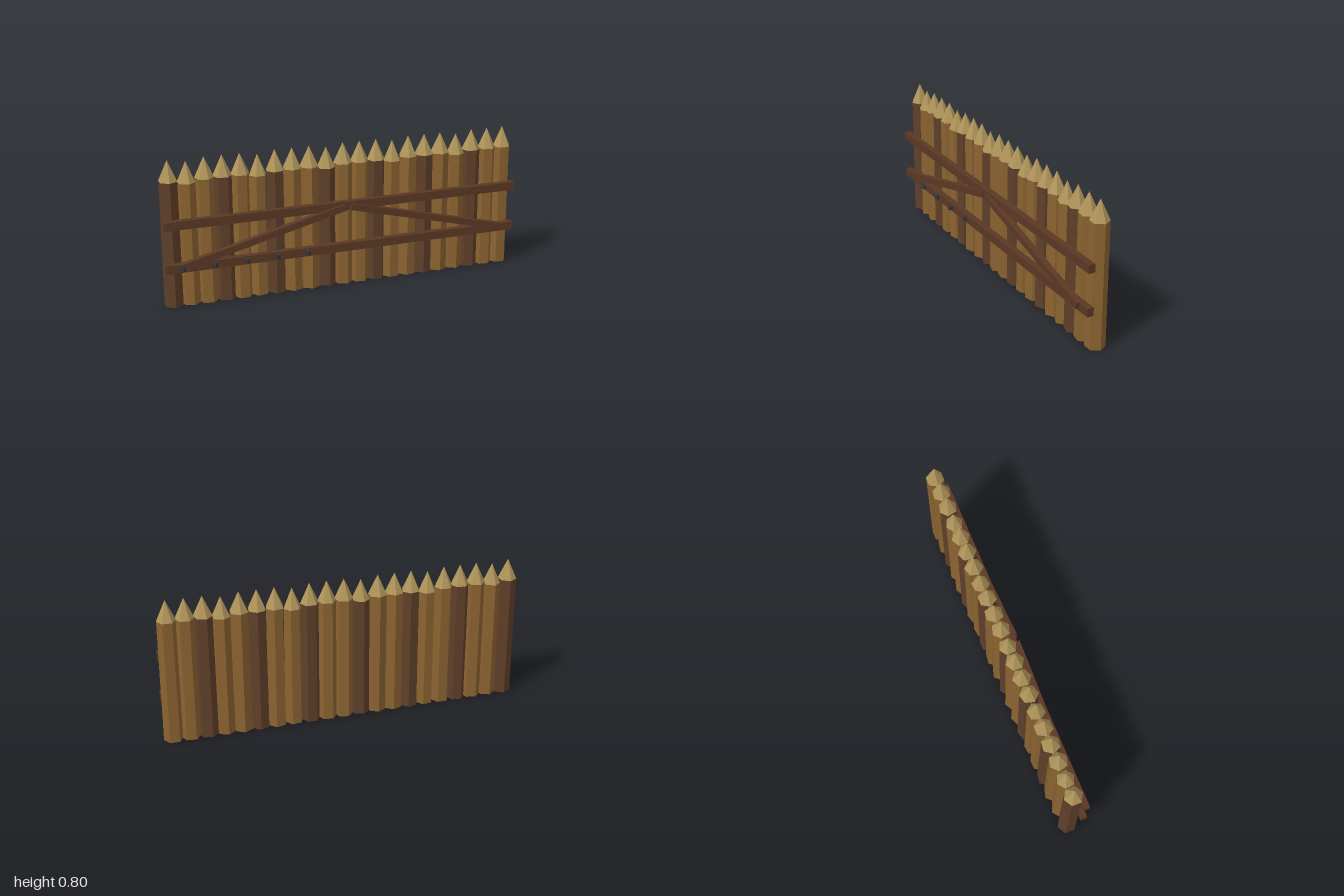
import * as THREE from 'three';

const paint = (color) => new THREE.MeshStandardMaterial({ color, flatShading: true });

export function createModel() {
  const model = new THREE.Group();
  model.name = 'palisadeWall';

  const lightWood = paint(0x8b6331);
  const darkWood = paint(0x5f3f29);
  const cutWood = paint(0xb0955a);
  const railWood = paint(0x5a3824);
  const iron = paint(0x30373c);

  const add = (name, geometry, material, x, y, z, parent = model) => {
    const mesh = new THREE.Mesh(geometry, material);
    mesh.name = name;
    mesh.position.set(x, y, z);
    parent.add(mesh);
    return mesh;
  };

  // Row of sharpened hexagonal stakes, each turned a little further
  const count = 21;
  const tipHeight = 0.113;
  for (let i = 0; i < count; i++) {
    const short = i % 4 === 1;
    const height = short ? 0.672 : 0.687;
    const r = short ? 0.049 : 0.0515;
    const stake = new THREE.Group();
    stake.name = 'stake';
    stake.position.set(-0.952 + i * 0.0952, 0, -0.0265);
    stake.rotation.y = i * 0.13;
    model.add(stake);
    add('stakeBody', new THREE.CylinderGeometry(r - 0.001, r + 0.0015, height, 6),
      i % 3 === 0 ? darkWood : lightWood, 0, height / 2, 0, stake);
    add('stakeTip', new THREE.ConeGeometry(r, tipHeight, 6),
      cutWood, 0, height + tipHeight / 2, 0, stake);
  }

  // Horizontal rails across the front
  const railGeometry = new THREE.BoxGeometry(2, 0.046, 0.036);
  add('upperRail', railGeometry, railWood, 0, 0.467, 0.04);
  add('lowerRail', railGeometry, railWood, 0, 0.23, 0.04);

  // Diagonal braces rising to the middle
  const braceGeometry = new THREE.BoxGeometry(0.934, 0.036, 0.033);
  for (const side of [-1, 1]) {
    const brace = add('brace', braceGeometry, railWood, side * 0.47, 0.35, 0.0565);
    brace.rotation.z = -side * 0.244;
  }

  // Iron pegs on the lower rail
  const pegGeometry = new THREE.CylinderGeometry(0.016, 0.016, 0.024, 6);
  for (let i = 0; i < 5; i++) {
    add('peg', pegGeometry, iron, -0.914 + i * 0.171, 0.231, 0.065);
  }

  return model;
}
